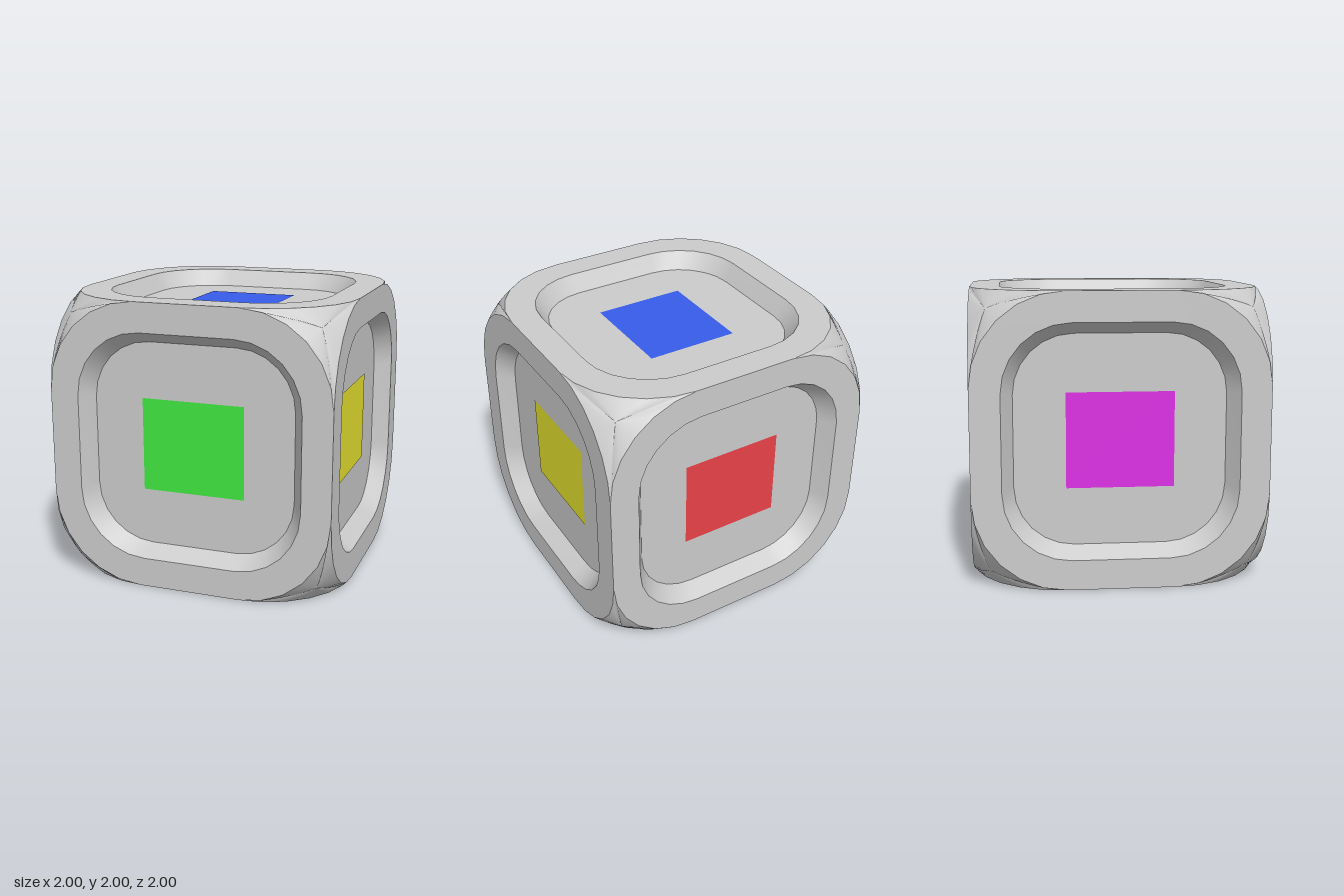
import * as THREE from 'three';

const STEPS = 6; // segments per rounded corner
const FLOOR = 0.88; // recess floor distance from the centre

// Counter-clockwise outline of a rounded square
function roundedSquare(half, straight) {
  const pts = [];
  const r = half - straight;
  for (let q = 0; q < 4; q++) {
    const a0 = (q * Math.PI) / 2;
    const cx = straight * (q === 0 || q === 3 ? 1 : -1);
    const cy = straight * (q < 2 ? 1 : -1);
    for (let i = 0; i <= STEPS; i++) {
      const a = a0 + (i / STEPS) * (Math.PI / 2);
      pts.push(new THREE.Vector2(cx + r * Math.cos(a), cy + r * Math.sin(a)));
    }
  }
  return pts;
}

// Smooth surface through closed loops of equal point count
function loft(loops) {
  const n = loops[0].length;
  const index = [];
  for (let k = 0; k < loops.length - 1; k++) {
    for (let i = 0; i < n; i++) {
      const a = k * n + i, b = k * n + ((i + 1) % n);
      index.push(a, b, b + n, a, b + n, a + n);
    }
  }
  const geo = new THREE.BufferGeometry().setFromPoints(loops.flat());
  geo.setIndex(index);
  geo.computeVertexNormals();
  return geo;
}

// Bulging three-sided patch that fills the (+x, +y, +z) corner
function cornerGeometry() {
  const rim = [];
  for (let side = 0; side < 3; side++) {
    for (let i = 0; i < STEPS; i++) {
      const a = (i / STEPS) * (Math.PI / 2);
      const u = 0.36 + 0.64 * Math.sin(a), v = 0.36 + 0.64 * Math.cos(a);
      const p = [u, v, 1];
      rim.push(new THREE.Vector3(p[(3 - side) % 3], p[(4 - side) % 3], p[(5 - side) % 3]));
    }
  }
  const centre = new THREE.Vector3(1, 1, 1).setLength(1.53);
  const loops = [];
  for (let k = 0; k <= 6; k++) {
    const t = k / 6;
    loops.push(rim.map((p) => p.clone().lerp(centre, t)
      .setLength(THREE.MathUtils.lerp(p.length(), centre.length(), t))));
  }
  return loft(loops);
}

export function createModel() {
  const model = new THREE.Group();
  const cube = new THREE.Group();
  cube.name = 'cube';
  cube.position.y = 1;
  model.add(cube);

  const grey = new THREE.MeshStandardMaterial({ color: 0xcccccc });
  const add = (parent, name, geo, mat) => {
    const mesh = new THREE.Mesh(geo, mat);
    mesh.name = name;
    parent.add(mesh);
    return mesh;
  };

  // Shared geometry of one face, facing +z
  const opening = roundedSquare(0.795, 0.33);
  const floorEdge = roundedSquare(0.716, 0.31);
  const frame = new THREE.Shape(roundedSquare(1, 0.36));
  frame.holes.push(new THREE.Path(opening));
  const frameGeo = new THREE.ShapeGeometry(frame).translate(0, 0, 1);
  const floorGeo = new THREE.ShapeGeometry(new THREE.Shape(floorEdge)).translate(0, 0, FLOOR);
  const wallGeo = loft([
    opening.map((p) => new THREE.Vector3(p.x, p.y, 1)),
    floorEdge.map((p) => new THREE.Vector3(p.x, p.y, FLOOR)),
  ]);
  const panelGeo = new THREE.PlaneGeometry(0.73, 0.65).translate(0, 0, FLOOR + 0.004);

  // Six recessed faces with coloured panels
  const q = Math.PI / 2;
  const faces = [
    ['front', 0x41e841, [0, 0, 0]],
    ['right', 0xe8e330, [0, q, 0]],
    ['back', 0xe84149, [0, 2 * q, 0]],
    ['left', 0xdc2fe4, [0, -q, 0]],
    ['top', 0x375cea, [-q, 0, q]],
    ['bottom', 0xeb7a14, [q, 0, q]],
  ];
  for (const [side, color, rotation] of faces) {
    const face = new THREE.Group();
    face.name = side + 'Face';
    face.rotation.set(...rotation);
    add(face, 'frame', frameGeo, grey);
    add(face, 'recessWall', wallGeo, grey);
    add(face, 'recessFloor', floorGeo, grey);
    add(face, 'colourPanel', panelGeo, new THREE.MeshStandardMaterial({ color }));
    cube.add(face);
  }

  // Eight rounded corners
  const cornerGeo = cornerGeometry();
  for (const flip of [0, Math.PI]) {
    for (let i = 0; i < 4; i++) {
      add(cube, 'corner', cornerGeo, grey).rotation.set(flip, i * q, 0);
    }
  }
  return model;
}
